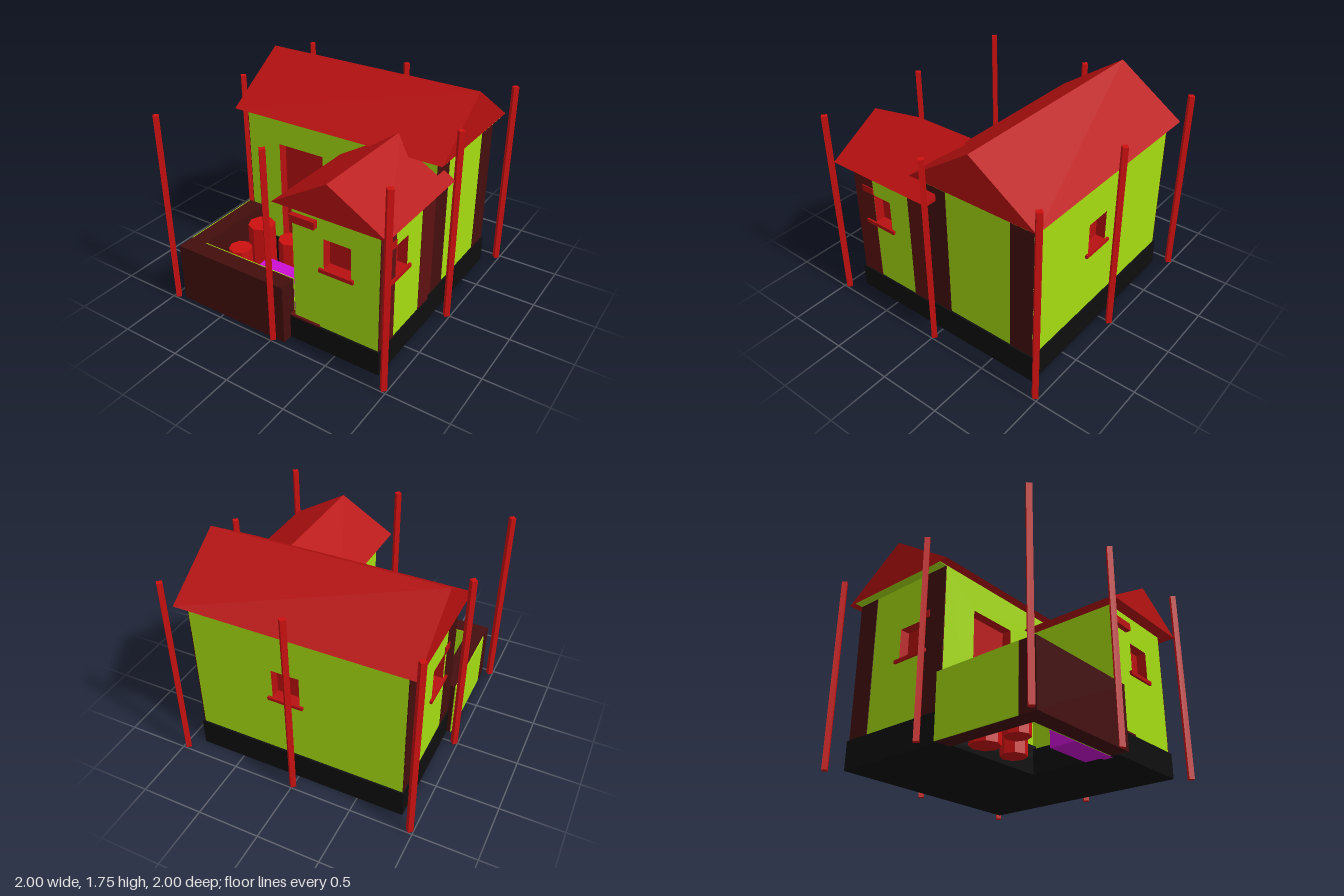
import * as THREE from 'three';

const mat = (name, color, side = THREE.FrontSide) => {
  const m = new THREE.MeshStandardMaterial({ color, side });
  m.name = name;
  return m;
};

export function createModel() {
  const model = new THREE.Group();
  model.name = 'house';
  const red = mat('roofRed', 0xb81010);
  const bright = mat('brightRed', 0xcc1010);
  const green = mat('wallGreen', 0xa6dd12);
  const brown = mat('darkBrown', 0x440e0e);
  const maroon = mat('maroon', 0x5e1010);
  const black = mat('baseBlack', 0x0e0e0e);
  const purple = mat('purple', 0xcc10d4);

  const add = (name, geo, material) => {
    const mesh = new THREE.Mesh(geo, material);
    mesh.name = name;
    model.add(mesh);
    return mesh;
  };
  // Box given by its limits on each axis
  const box = (name, material, x0, x1, y0, y1, z0, z1) =>
    add(name, new THREE.BoxGeometry(x1 - x0, y1 - y0, z1 - z0), material)
      .position.set((x0 + x1) / 2, (y0 + y1) / 2, (z0 + z1) / 2);

  // Wall panel with rectangular openings, outer face on local z = 0
  const T = 0.08;
  const wall = (name, x0, x1, y0, y1, holes, turn, px, pz) => {
    const rect = (P, a, b, c, d) => {
      const p = new P();
      p.moveTo(a, c); p.lineTo(b, c); p.lineTo(b, d); p.lineTo(a, d); p.closePath();
      return p;
    };
    const shape = rect(THREE.Shape, x0, x1, y0, y1);
    holes.forEach(h => shape.holes.push(rect(THREE.Path, ...h)));
    const geo = new THREE.ExtrudeGeometry(shape, { depth: T, bevelEnabled: false });
    geo.translate(0, 0, -T);
    const mesh = add(name, geo, [green, red]);
    mesh.rotation.y = turn;
    mesh.position.set(px, 0, pz);
  };

  // Gable roof: triangular prism running along z
  const gable = (name, half, rise, length) => {
    const s = new THREE.Shape();
    s.moveTo(-half, 0); s.lineTo(half, 0); s.lineTo(0, rise); s.closePath();
    const geo = new THREE.ExtrudeGeometry(s, { depth: length, bevelEnabled: false });
    geo.translate(0, 0, -length / 2);
    return add(name, geo, red);
  };

  // Foundations
  box('mainBase', black, -0.87, 0.87, 0, 0.23, -0.87, 0.13);
  box('wingBase', black, 0.1, 0.87, 0, 0.2, 0.13, 0.875);

  // Main house: red lining seen through the openings, then walls
  box('mainLining', red, -0.775, 0.775, 0.22, 1.4, -0.775, 0.02);
  wall('mainFrontWall', -0.855, 0.855, 0.22, 1.385,
    [[-0.55, -0.13, 0.24, 1.13], [0.05, 0.28, 0.74, 1.0]], 0, 0, 0.1);
  wall('mainBackWall', -0.855, 0.855, 0.22, 1.385, [[-0.195, 0.03, 0.75, 1.0]], Math.PI, 0, -0.855);
  wall('mainRightWall', -0.02, 0.775, 0.22, 1.385, [], Math.PI / 2, 0.856, 0);
  wall('mainLeftWall', -0.775, 0.02, 0.22, 1.385, [[-0.36, -0.12, 0.75, 1.0]], -Math.PI / 2, -0.856, 0);
  for (const s of [-1, 1]) {
    const x0 = s > 0 ? 0.852 : -0.86, x1 = x0 + 0.008;
    box('cornerPanel', brown, x0, x1, 0.22, 1.385, -0.855, -0.66);
    box('cornerPanel', brown, x0, x1, 0.22, 1.385, -0.09, 0.098);
    const e0 = s > 0 ? 0.855 : -0.925;
    box('soffit', green, e0, e0 + 0.07, 1.376, 1.382, -0.855, 0.1);
  }
  const mainRoof = gable('mainRoof', 0.55, 0.37, 1.855);
  mainRoof.rotation.y = Math.PI / 2;
  mainRoof.position.set(0, 1.38, -0.375);

  // Main house trim
  box('frontSill', red, 0.02, 0.31, 0.725, 0.75, 0.08, 0.12);
  box('backSill', red, -0.06, 0.23, 0.725, 0.75, -0.875, -0.84);
  box('leftSill', red, -0.875, -0.84, 0.725, 0.75, -0.4, -0.07);
  box('leftLintel', red, -0.865, -0.84, 1.0, 1.06, -0.14, -0.05);

  // Front wing
  box('wingLining', red, 0.2, 0.775, 0.19, 1.22, 0.1, 0.775);
  wall('wingFrontWall', 0.142, 0.855, 0.19, 1.21, [[0.4, 0.625, 0.73, 0.975]], 0, 0, 0.857);
  wall('wingRightWall', -0.778, -0.1, 0.19, 1.21, [[-0.66, -0.49, 0.73, 0.975]], Math.PI / 2, 0.856, 0);
  box('wingLeftWall', green, 0.138, 0.2, 0.19, 1.21, 0.1, 0.857);
  box('wingCornerPanel', maroon, 0.852, 0.86, 0.2, 1.21, 0.662, 0.857);
  box('wingCornerPanel', maroon, 0.852, 0.86, 0.2, 1.21, 0.098, 0.29);
  gable('wingRoof', 0.457, 0.27, 0.955).position.set(0.498, 1.205, 0.4775);

  // Wing trim
  box('wingFrontSill', red, 0.365, 0.65, 0.7, 0.73, 0.83, 0.877);
  box('wingSideSill', red, 0.83, 0.875, 0.7, 0.73, 0.46, 0.75);
  box('wingFrontLintel', red, 0.14, 0.35, 1.05, 1.11, 0.84, 0.9);
  box('wingSideLintel', red, 0.84, 0.866, 0.98, 1.035, 0.66, 0.77);
  box('threshold', maroon, 0.1, 0.36, 0.2, 0.215, 0.82, 0.874);

  // Garden wall, with green faces outside left and inside front
  box('gardenFrontWall', brown, -0.905, 0.1, 0, 0.5, 0.82, 0.96);
  box('gardenLeftWall', brown, -0.9, -0.76, 0, 0.5, 0.1, 0.82);
  box('gardenLeftFace', green, -0.908, -0.9, 0, 0.5, 0.1, 0.82);
  box('gardenInnerFace', green, -0.76, 0.1, 0, 0.5, 0.812, 0.82);

  // Courtyard bench and eight-sided planters
  box('bench', purple, -0.31, 0.138, 0, 0.41, 0.6, 0.81);
  for (const [x, z, r, h] of [[-0.62, 0.295, 0.113, 0.46], [-0.325, 0.295, 0.1, 0.41], [-0.62, 0.575, 0.094, 0.38]]) {
    add('planter', new THREE.CylinderGeometry(r, r, h, 8).toNonIndexed(), bright).position.set(x, h / 2, z);
  }

  // Diamond posts around the plot
  for (const x of [-0.97, 0, 0.97]) for (const z of [-0.97, 0, 0.97]) {
    if (x === 0 && z === 0) continue;
    const geo = new THREE.CylinderGeometry(0.03, 0.03, 1.6, 4).toNonIndexed();
    add('post', geo, bright).position.set(x, 0.8, z);
  }

  // Flat facets on the many-sided parts
  model.traverse(o => {
    if (o.name === 'post' || o.name === 'planter') o.geometry.computeVertexNormals();
  });
  return model;
}
